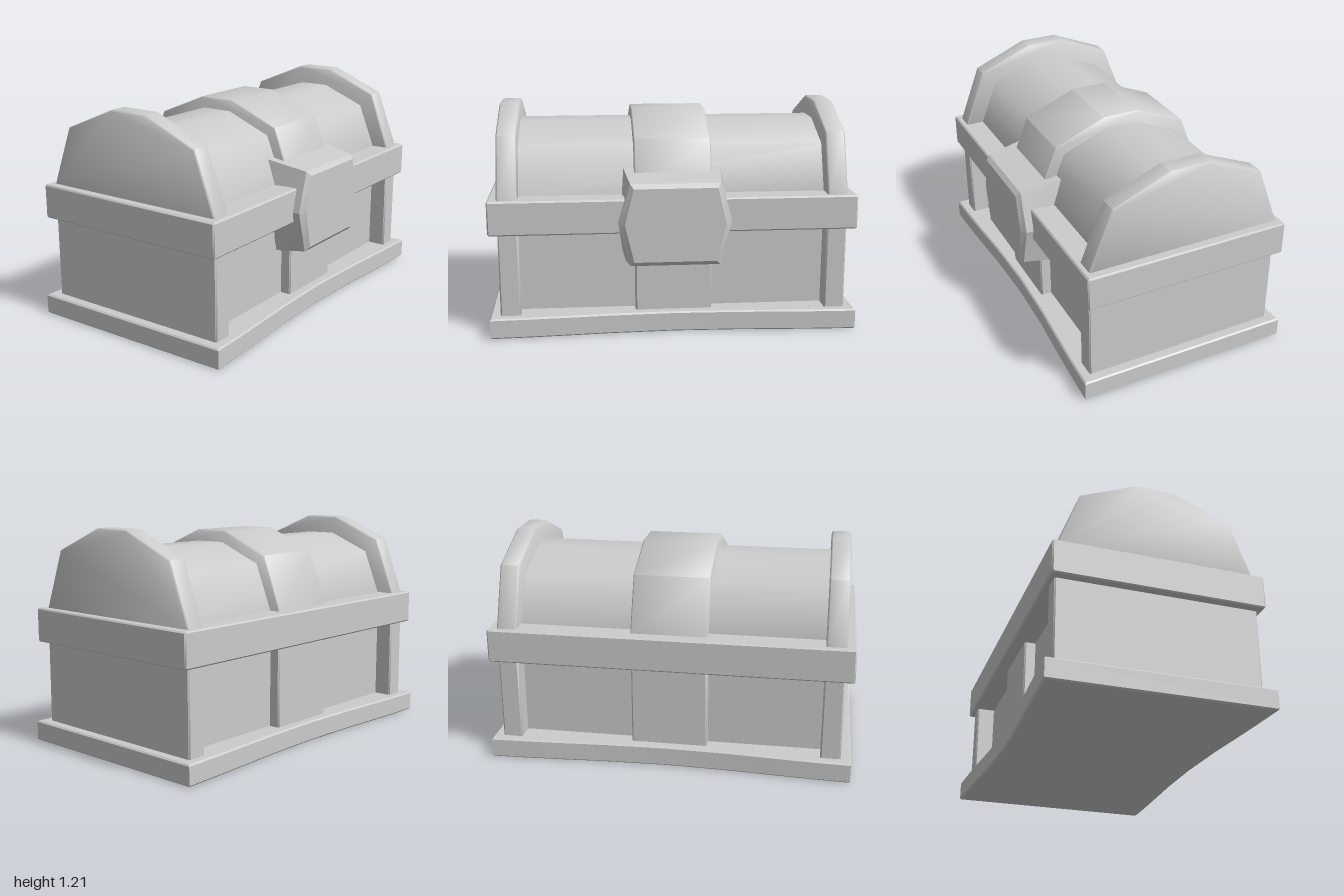
import * as THREE from 'three';
import { toCreasedNormals } from 'three/addons/utils/BufferGeometryUtils.js';

const CX = -0.02; // the chest body is centred here; the latch sticks out on +x

export function createModel() {
  const group = new THREE.Group();
  const material = new THREE.MeshStandardMaterial({ color: 0xcccccc });

  const add = (name, geometry, crease = 0.6) => {
    const mesh = new THREE.Mesh(toCreasedNormals(geometry, crease), material);
    mesh.name = name;
    group.add(mesh);
    return mesh;
  };

  // Extrude an outline along z between z0 and z1, with a chamfer inside the outline
  const extrude = (points, z0, z1, bevel) => {
    const shape = new THREE.Shape(points.map(([x, y]) => new THREE.Vector2(x, y)));
    const geometry = new THREE.ExtrudeGeometry(shape, {
      depth: z1 - z0 - 2 * bevel, bevelEnabled: bevel > 0, bevelThickness: bevel,
      bevelSize: bevel, bevelOffset: -bevel, bevelSegments: 1, steps: 1,
    });
    return geometry.translate(0, 0, z0 + bevel);
  };

  // Box outline with cut corners
  const boxOutline = (w, y0, y1, c) => [
    [CX - w + c, y0], [CX + w - c, y0], [CX + w, y0 + c], [CX + w, y1 - c],
    [CX + w - c, y1], [CX - w + c, y1], [CX - w, y1 - c], [CX - w, y0 + c],
  ];
  const block = (name, w, y0, y1, z0, z1, c = 0.008) =>
    add(name, extrude(boxOutline(w, y0, y1, c), z0, z1, c));

  // Five-sided arch of the lid, shrunk inward by d
  const arch = (name, d, z0, z1, bevel) => {
    const right = [[0.545 - d, 0.73], [0.545 - d, 0.755], [0.42 - d * 0.75, 1.08 - d * 0.75], [0.11 - d * 0.2, 1.21 - d]];
    const left = right.map(([x, y]) => [-x, y]).reverse();
    const outline = [...right, ...left].map(([x, y]) => [x + CX, y]);
    return add(name, extrude(outline, z0, z1, bevel), 0.85);
  };

  // Base slab with slightly waisted long sides
  const edge = [[1, 0.6], [0.78, 0.592], [0.55, 0.579], [0.35, 0.566], [0, 0.556],
    [-0.35, 0.566], [-0.55, 0.579], [-0.78, 0.592], [-1, 0.6]];
  const baseOutline = [
    ...edge.map(([z, w]) => [CX + w, z]),
    ...edge.map(([z, w]) => [CX - w, z]).reverse(),
  ].reverse();
  const base = extrude(baseOutline, 0, 0.113, 0.008);
  base.rotateX(Math.PI / 2).translate(0, 0.113, 0);
  add('base', base);

  // Body and lid panels, middle bands and rim
  block('bodyPanels', 0.445, 0.09, 0.6, -0.88, 0.88, 0);
  arch('lidPanels', 0.103, -0.88, 0.88, 0);
  block('bodyMiddleBand', 0.505, 0.09, 0.6, -0.21, 0.21);
  arch('lidMiddleBand', 0.04, -0.21, 0.21, 0.006);
  block('rim', 0.575, 0.568, 0.755, -0.995, 0.995);

  // End walls of body and lid
  for (const [side, z0, z1] of [['front', 0.835, 0.945], ['back', -0.945, -0.835]]) {
    block(side + 'BodyEnd', 0.547, 0.09, 0.6, z0, z1);
    arch(side + 'LidEnd', 0, z0, z1, 0.008);
  }

  // Hexagonal latch: sections from back to front as [x, half width at corners, half width at middle, bottom, top]
  const sections = [
    [0.36, 0.268, 0.305, 0.37, 0.888],
    [0.595, 0.24, 0.303, 0.4, 0.848],
    [0.618, 0.222, 0.27, 0.425, 0.825],
  ];
  const rings = sections.map(([x, w, m, y0, y1]) =>
    [[w, y0], [m, 0.63], [w, y1], [-w, y1], [-m, 0.63], [-w, y0]].map(([z, y]) => [x, y, z]));
  const positions = [];
  const tri = (...corners) => corners.forEach((p) => positions.push(...p));
  for (let s = 0; s < rings.length - 1; s++) {
    for (let i = 0; i < 6; i++) {
      const j = (i + 1) % 6;
      const [a, b, c, d] = [rings[s][i], rings[s][j], rings[s + 1][j], rings[s + 1][i]];
      tri(a, c, b);
      tri(a, d, c);
    }
  }
  const front = rings[rings.length - 1];
  const back = rings[0];
  for (let i = 1; i < 5; i++) {
    tri(front[0], front[i + 1], front[i]);
    tri(back[0], back[i], back[i + 1]);
  }
  // Corner order runs from +z up to -z, so faces are checked against +x outward
  const latch = new THREE.BufferGeometry();
  latch.setAttribute('position', new THREE.Float32BufferAttribute(positions, 3));
  latch.computeVertexNormals();
  add('latch', latch, 0.3);

  return group;
}
